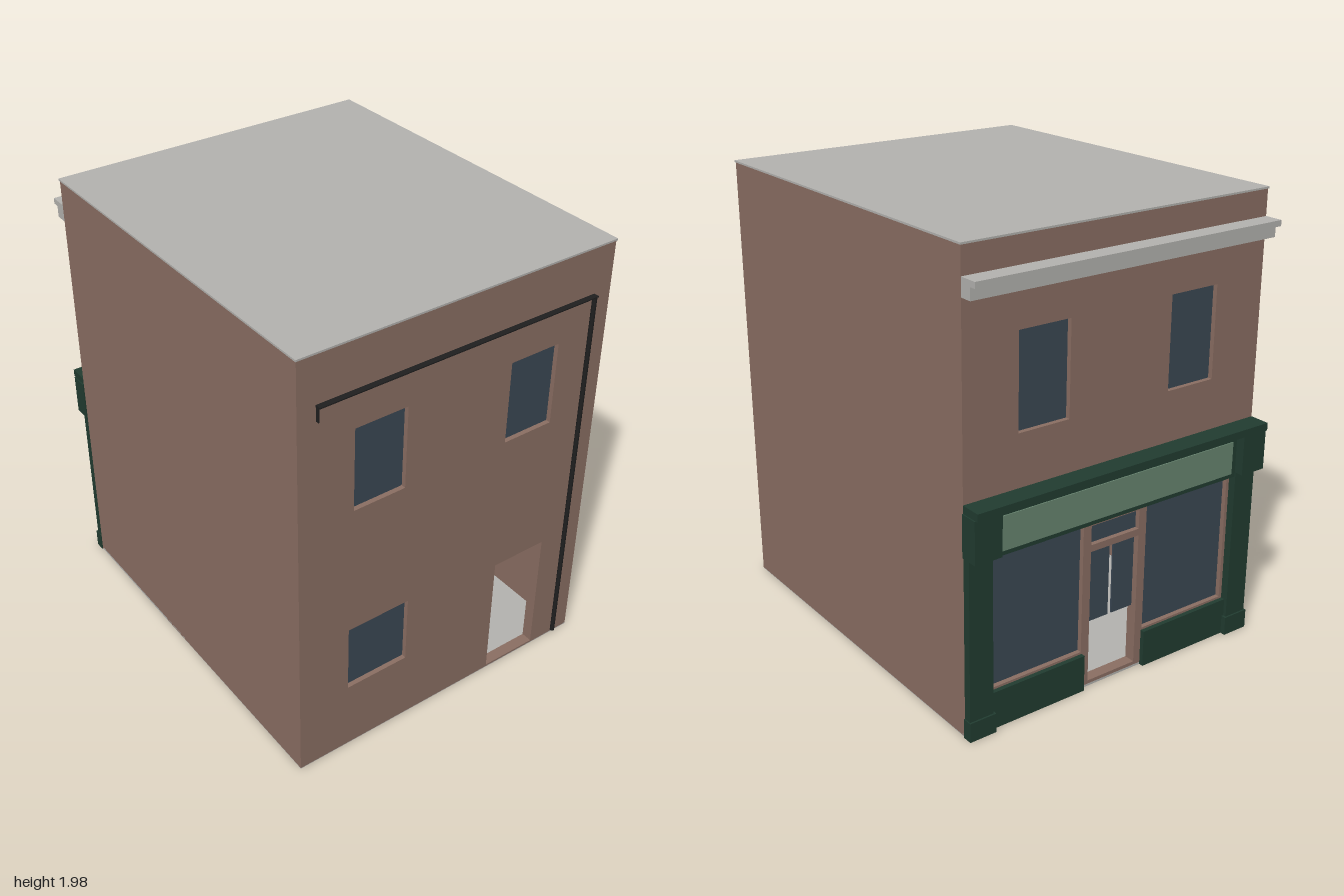
import * as THREE from 'three';

const mat = (name, color) => {
  const m = new THREE.MeshStandardMaterial({ color });
  m.name = name;
  return m;
};

export function createModel() {
  const brick = mat('brown brick', 0x8b6f63);
  const stone = mat('grey stone', 0xb4b3b0);
  const glass = mat('dark glass', 0x3b4854);
  const darkGreen = mat('dark green paint', 0x213c30);
  const paleGreen = mat('pale green paint', 0x688570);
  const black = mat('black metal', 0x1f1f1f);

  const house = new THREE.Group();
  house.name = 'shopHouse';

  // Box given by its lower and upper limits on each axis
  function box(name, material, [x0, x1], [y0, y1], [z0, z1], parent = house) {
    const mesh = new THREE.Mesh(new THREE.BoxGeometry(x1 - x0, y1 - y0, z1 - z0), material);
    mesh.position.set((x0 + x1) / 2, (y0 + y1) / 2, (z0 + z1) / 2);
    mesh.name = name;
    parent.add(mesh);
    return mesh;
  }

  // Wall with rectangular openings [x0, x1, y0, y1], glazed at the given depth
  const W = 0.74, T = 0.05, FRONT = 0.885, BACK = -0.825;
  function wall(name, z, openings, glazing) {
    const rect = (P, x0, x1, y0, y1) => {
      const p = new P();
      p.moveTo(x0, y0);
      p.lineTo(x1, y0);
      p.lineTo(x1, y1);
      p.lineTo(x0, y1);
      p.closePath();
      return p;
    };
    const shape = rect(THREE.Shape, -W, W, 0.003, 1.975);
    for (const o of openings) shape.holes.push(rect(THREE.Path, ...o));
    const mesh = new THREE.Mesh(new THREE.ExtrudeGeometry(shape, { depth: T, bevelEnabled: false }), brick);
    mesh.position.z = z;
    mesh.name = name;
    house.add(mesh);
    for (const [x0, x1, y0, y1] of glazing)
      box(name + 'Glass', glass, [x0, x1], [y0, y1], [z + T / 2 - 0.004, z + T / 2 + 0.004]);
  }

  // Front wall: three windows and an open doorway
  const frontWindows = [
    [-0.49, -0.25, 1.23, 1.6], [0.25, 0.49, 1.23, 1.6], [-0.505, -0.21, 0.325, 0.64],
  ];
  wall('frontWall', FRONT - T, [...frontWindows, [0.26, 0.525, 0.012, 0.59]], frontWindows);

  // Back wall: two upper windows, shop windows, transom light and shop door
  const backWindows = [
    [-0.49, -0.25, 1.22, 1.62], [0.25, 0.49, 1.22, 1.62],
    [-0.615, -0.165, 0.175, 0.77], [0.165, 0.615, 0.175, 0.77],
    [-0.125, 0.125, 0.65, 0.735],
  ];
  const doorPanes = [[-0.12, -0.01, 0.29, 0.62], [0.01, 0.12, 0.29, 0.62]];
  wall('shopWall', BACK, [...backWindows, [-0.125, 0.125, 0.025, 0.62]], [...backWindows, ...doorPanes]);

  // Side walls, floor and roof
  for (const s of [-1, 1]) {
    const xs = s < 0 ? [-W, -W + T] : [W - T, W];
    box(s < 0 ? 'rightWall' : 'leftWall', brick, xs, [0.003, 1.975], [BACK + T, FRONT - T]);
  }
  box('floor', stone, [-W, W], [0, 0.01], [BACK, FRONT]);
  box('roof', stone, [-W - 0.004, W + 0.004], [1.972, 1.98], [BACK - 0.004, FRONT + 0.004]);

  // Stepped stone cornice above the upper shop windows
  box('corniceLower', stone, [-W, W], [1.785, 1.835], [-0.88, BACK]);
  box('corniceUpper', stone, [-W, W], [1.835, 1.86], [-0.908, BACK]);

  // Painted shopfront
  const shop = new THREE.Group();
  shop.name = 'shopfront';
  house.add(shop);
  box('fascia', darkGreen, [-0.62, 0.62], [0.765, 0.965], [-0.865, BACK], shop);
  box('fasciaPanel', paleGreen, [-0.595, 0.595], [0.785, 0.93], [-0.87, -0.864], shop);
  box('fasciaCornice', darkGreen, [-W, W], [0.965, 0.998], [-0.918, BACK], shop);
  for (const s of [-1, 1]) {
    const span = (a, b) => (s < 0 ? [-b, -a] : [a, b]);
    box('console', darkGreen, span(0.62, 0.745), [0.785, 0.965], [-0.906, BACK], shop);
    box('pilaster', darkGreen, span(0.63, W), [0.085, 0.785], [-0.86, BACK], shop);
    box('plinth', darkGreen, span(0.62, 0.745), [0, 0.085], [-0.868, BACK], shop);
    box('stallRiser', darkGreen, span(0.16, 0.63), [0, 0.165], [-0.845, BACK], shop);
  }

  // Shallow gutter with end caps, and a downpipe
  const gutter = new THREE.Group();
  gutter.name = 'gutter';
  house.add(gutter);
  box('gutterTop', black, [-0.66, 0.655], [1.763, 1.768], [FRONT, 0.91], gutter);
  box('gutterEnd', black, [-0.66, -0.656], [1.7, 1.766], [FRONT, 0.9], gutter);
  box('gutterEnd', black, [0.651, 0.655], [1.7, 1.766], [FRONT, 0.9], gutter);
  const pipe = new THREE.Mesh(new THREE.CylinderGeometry(0.01, 0.01, 1.74, 12), black);
  pipe.position.set(0.644, 0.895, 0.9);
  pipe.name = 'downpipe';
  house.add(pipe);

  return house;
}
